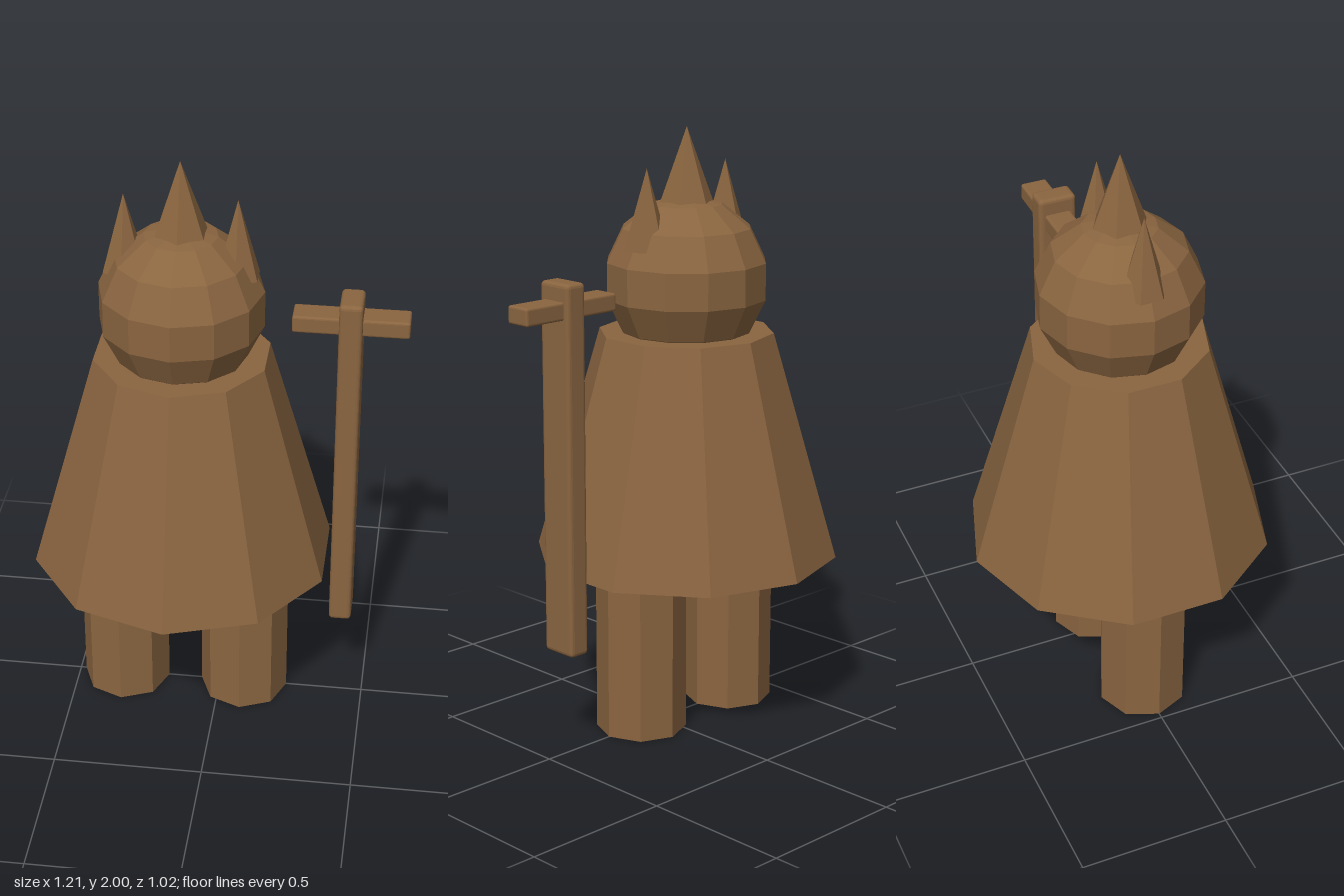
import * as THREE from 'three';
import { RoundedBoxGeometry } from 'three/addons/geometries/RoundedBoxGeometry.js';

export function createModel() {
  const model = new THREE.Group();
  model.name = 'cloakedFigure';

  const brown = new THREE.MeshStandardMaterial({ color: 0x8a6540, flatShading: true });
  brown.name = 'brown';

  const add = (parent, name, geometry, x, y, z = 0) => {
    const mesh = new THREE.Mesh(geometry, brown);
    mesh.name = name;
    mesh.position.set(x, y, z);
    parent.add(mesh);
    return mesh;
  };

  // The figure stands a little to the right, leaving room for the staff
  const figure = new THREE.Group();
  figure.name = 'figure';
  figure.position.x = -0.123;
  model.add(figure);

  // Ten-sided cloak and faceted head
  add(figure, 'cloak', new THREE.CylinderGeometry(0.29, 0.508, 0.757, 10), 0, 0.9535);
  add(figure, 'head', new THREE.SphereGeometry(0.273, 12, 7), 0, 1.505);

  // Six-sided spikes, the tall one in the middle
  const addSpike = (name, x, base, tip, radius) =>
    add(figure, name, new THREE.ConeGeometry(radius, tip - base, 6), x, (base + tip) / 2);
  addSpike('middleSpike', 0, 1.7, 2, 0.11);

  // Mirrored side spikes and eight-sided legs
  for (const [side, s] of [['left', 1], ['right', -1]]) {
    addSpike(side + 'Spike', s * 0.179, 1.62, 1.88, 0.075);
    add(figure, side + 'Leg', new THREE.CylinderGeometry(0.15, 0.15, 0.58, 8), s * 0.208, 0.29);
  }

  // Staff with a crossbar
  const staff = new THREE.Group();
  staff.name = 'staff';
  staff.position.x = 0.418;
  model.add(staff);
  add(staff, 'shaft', new RoundedBoxGeometry(0.075, 1.215, 0.13, 2, 0.014), 0, 0.9575);
  add(staff, 'crossbar', new RoundedBoxGeometry(0.372, 0.058, 0.09, 2, 0.008), 0, 1.48);

  return model;
}
